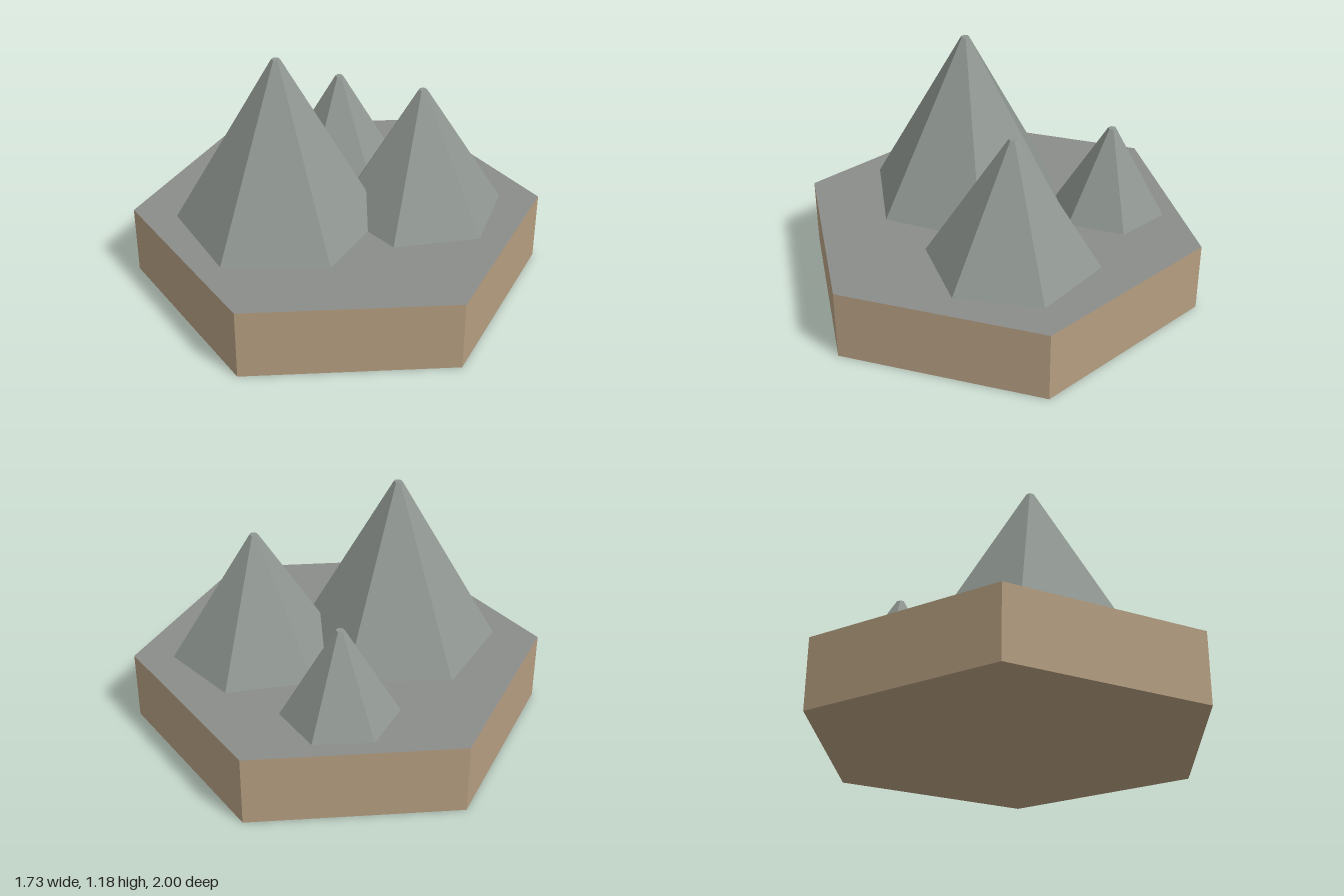
import * as THREE from 'three';

const material = (name, color) => {
  const m = new THREE.MeshStandardMaterial({ color, flatShading: true });
  m.name = name;
  return m;
};

export function createModel() {
  const group = new THREE.Group();
  group.name = 'mountainTile';
  const earth = material('earth', 0xb49d80);
  const ground = material('stoneGround', 0x8b8d8a);
  const rock = material('rock', 0x8f9691);
  const baseHeight = 0.345;

  // Hexagonal slab: earth sides and underside, stone top
  const slab = new THREE.Mesh(
    new THREE.CylinderGeometry(1, 1, baseHeight, 6),
    [earth, ground, earth]
  );
  slab.name = 'hexBase';
  slab.position.y = baseHeight / 2;
  group.add(slab);

  // Six-sided peaks with tiny flat tips
  const peaks = [
    { name: 'tallPeak', x: -0.3, z: -0.055, radius: 0.5, top: 1.18, turn: -0.07 },
    { name: 'middlePeak', x: 0.33, z: 0.22, radius: 0.415, top: 0.97, turn: 0.12 },
    { name: 'smallPeak', x: 0.31, z: -0.455, radius: 0.276, top: 0.78, turn: -0.03 },
  ];
  for (const { name, x, z, radius, top, turn } of peaks) {
    const height = top - baseHeight;
    const peak = new THREE.Mesh(new THREE.CylinderGeometry(0.02, radius, height, 6), rock);
    peak.name = name;
    peak.position.set(x, baseHeight + height / 2, z);
    peak.rotation.y = turn;
    group.add(peak);
  }
  return group;
}
